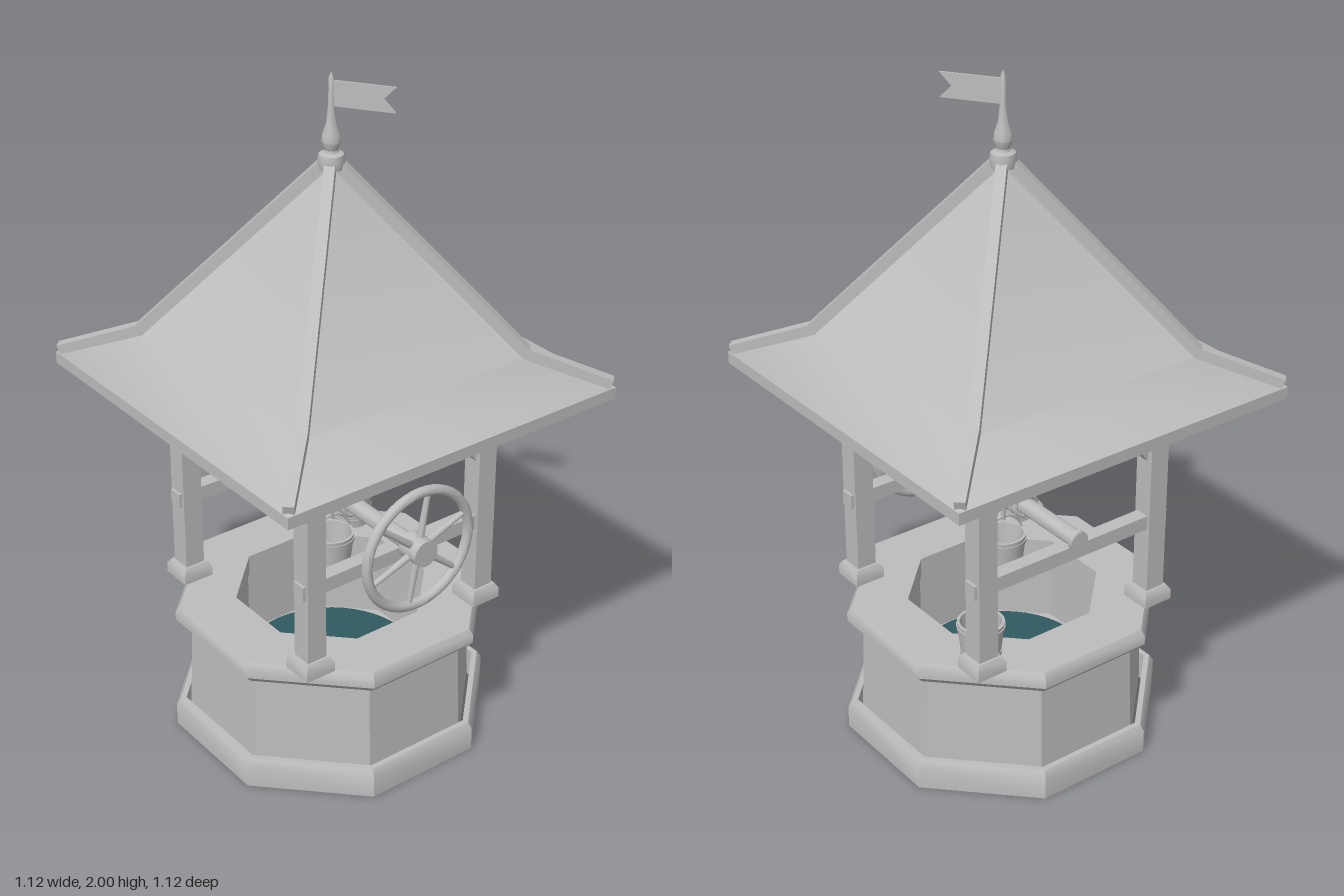
import * as THREE from 'three';
import { toCreasedNormals } from 'three/addons/utils/BufferGeometryUtils.js';

export function createModel() {
  const model = new THREE.Group();
  model.name = 'well';
  const grey = new THREE.MeshStandardMaterial({ color: 0xbcbcbc, side: THREE.DoubleSide });
  grey.name = 'grey';
  const teal = new THREE.MeshStandardMaterial({ color: 0x2f5a60, side: THREE.DoubleSide });
  teal.name = 'waterTeal';

  const add = (name, geo, x = 0, y = 0, z = 0, parent = model, mat = grey) => {
    const m = new THREE.Mesh(toCreasedNormals(geo, 0.6), mat);
    m.name = name;
    m.position.set(x, y, z);
    parent.add(m);
    return m;
  };
  // Regular prism from [apothem, y] points, with flats facing the axes
  const prism = (sides, pts) => new THREE.LatheGeometry(
    pts.map(([r, y]) => new THREE.Vector2(r / Math.cos(Math.PI / sides), y)), sides, Math.PI / sides);
  const lathe = (pts, n = 24) => new THREE.LatheGeometry(pts.map(p => new THREE.Vector2(...p)), n);
  const box = (w, h, d) => new THREE.BoxGeometry(w, h, d);
  // Square bar between two points
  const bar = (name, a, b, w, h, parent = model) => {
    const A = new THREE.Vector3(...a), B = new THREE.Vector3(...b);
    const m = add(name, box(w, h, A.distanceTo(B)), 0, 0, 0, parent);
    m.position.copy(A).add(B).multiplyScalar(0.5);
    m.lookAt(B);
    return m;
  };

  // Stone base
  add('plinth', prism(8, [[0.412, 0], [0.44, 0], [0.44, 0.07], [0.428, 0.09], [0.412, 0.09], [0.412, 0]]));
  add('wall', prism(8, [[0.27, 0.03], [0.4, 0.03], [0.388, 0.37], [0.27, 0.37], [0.27, 0.03]]));
  add('coping', prism(8, [[0.265, 0.36], [0.415, 0.355], [0.432, 0.375], [0.432, 0.402], [0.42, 0.42],
    [0.265, 0.42], [0.265, 0.36]]));
  add('shaftLining', lathe([[0.268, 0.02], [0.29, 0.02], [0.29, 0.15], [0.268, 0.15], [0.268, 0.02]], 48));
  add('water', new THREE.CylinderGeometry(0.268, 0.268, 0.006, 48), 0, 0.147, 0, model, teal);

  // Posts with pads and braces
  for (const sx of [-1, 1]) for (const sz of [-1, 1]) {
    const x = 0.3 * sx, z = 0.3 * sz;
    add('post', box(0.062, 0.62, 0.062), x, 0.74, z);
    add('postFoot', prism(4, [[0, 0.42], [0.048, 0.42], [0.048, 0.45], [0.038, 0.467], [0, 0.467]]), x, 0, z);
    add('postHead', prism(4, [[0, 1.025], [0.038, 1.025], [0.046, 1.035], [0.046, 1.06], [0, 1.06]]), x, 0, z);
    bar('frontBrace', [0.28 * sx, 0.9, z], [0.13 * sx, 1.07, z], 0.028, 0.028);
    bar('sideBrace', [x, 0.9, 0.28 * sz], [x, 1.11, 0.12 * sz], 0.028, 0.028);
  }

  // Beams and rails
  for (const s of [-1, 1]) {
    add('crossBeam', box(0.75, 0.042, 0.046), 0, 1.08, 0.3 * s);
    add('sideBeam', box(0.046, 0.042, 0.75), 0.3 * s, 1.12, 0);
    add('axleRail', box(0.044, 0.044, 0.68), 0.3 * s, 0.693, 0);
  }

  // Windlass
  const windlass = new THREE.Group();
  windlass.name = 'windlass';
  windlass.position.y = 0.745;
  model.add(windlass);
  const alongX = (r, len) => new THREE.CylinderGeometry(r, r, len, 20).rotateZ(Math.PI / 2);
  add('axle', alongX(0.025, 0.76), 0.03, 0, 0, windlass);
  add('axleCollar', alongX(0.029, 0.018), -0.34, 0, 0, windlass);
  const turns = 9;
  const coil = new THREE.CatmullRomCurve3(Array.from({ length: turns * 12 + 1 }, (_, i) => {
    const a = i / 12 * Math.PI * 2;
    return new THREE.Vector3(-0.115 + 0.23 * i / (turns * 12), 0.032 * Math.cos(a), 0.032 * Math.sin(a));
  }));
  add('ropeCoil', new THREE.TubeGeometry(coil, turns * 20, 0.008, 8), 0, 0, 0, windlass);

  // Hand wheel
  const wheel = new THREE.Group();
  wheel.name = 'handWheel';
  wheel.position.x = 0.393;
  windlass.add(wheel);
  add('wheelRim', new THREE.TorusGeometry(0.178, 0.015, 12, 48).rotateY(Math.PI / 2), 0, 0, 0, wheel);
  add('wheelHub', alongX(0.04, 0.07), 0, 0, 0, wheel);
  for (let i = 0; i < 6; i++) {
    const spoke = new THREE.CylinderGeometry(0.008, 0.011, 0.15, 10).translate(0, 0.1, 0);
    add('spoke', spoke, 0, 0, 0, wheel).rotation.x = (i / 6 + 0.028) * Math.PI * 2 - Math.PI / 9;
  }

  // Buckets
  const bucket = (name, x, y, z) => {
    const g = new THREE.Group();
    g.name = name;
    g.position.set(x, y, z);
    model.add(g);
    add('bucketBody', lathe([[0, 0], [0.054, 0], [0.067, 0.118], [0.059, 0.118], [0.048, 0.012], [0, 0.012]]), 0, 0, 0, g);
    for (const [h, r] of [[0.022, 0.058], [0.1, 0.067]])
      add('bucketHoop', lathe([[r - 0.005, h - 0.007], [r, h - 0.007], [r + 0.002, h + 0.007], [r - 0.005, h + 0.007]]), 0, 0, 0, g);
    return g;
  };
  const hanging = bucket('hangingBucket', 0, 0.484, 0);
  add('bucketHandle', new THREE.TorusGeometry(0.066, 0.004, 8, 24, Math.PI).rotateY(Math.PI / 2), 0, 0.108, 0, hanging);
  add('rope', new THREE.CylinderGeometry(0.006, 0.006, 0.09, 8), 0, 0.692, 0);
  bucket('standingBucket', -0.248, 0.42, -0.265);

  // Flared roof with hip ribs
  add('roof', prism(4, [[0, 1.72], [0.372, 1.185], [0.53, 1.1], [0.555, 1.1], [0.555, 1.135], [0.38, 1.213], [0, 1.755]]));
  for (const sx of [-1, 1]) for (const sz of [-1, 1]) {
    const at = (r, y) => [r * sx, y, r * sz];
    bar('upperHipRib', at(0.01, 1.752), at(0.383, 1.222), 0.03, 0.032);
    bar('lowerHipRib', at(0.376, 1.228), at(0.546, 1.147), 0.03, 0.032);
  }

  // Finial and swallowtail pennant
  add('finial', lathe([[0, 1.73], [0.034, 1.735], [0.038, 1.755], [0.034, 1.775], [0.02, 1.78], [0.018, 1.787],
    [0.027, 1.81], [0.024, 1.83], [0.014, 1.86], [0.009, 1.91], [0.007, 1.985], [0, 2]], 16));
  const flag = new THREE.Shape([[0, 1.907], [0.176, 1.907], [0.142, 1.942], [0.176, 1.977], [0, 1.977]]
    .map(p => new THREE.Vector2(...p)));
  add('pennant', new THREE.ExtrudeGeometry(flag, { depth: 0.006, bevelEnabled: false }).translate(0, 0, -0.003))
    .rotation.y = 0.6;
  return model;
}
